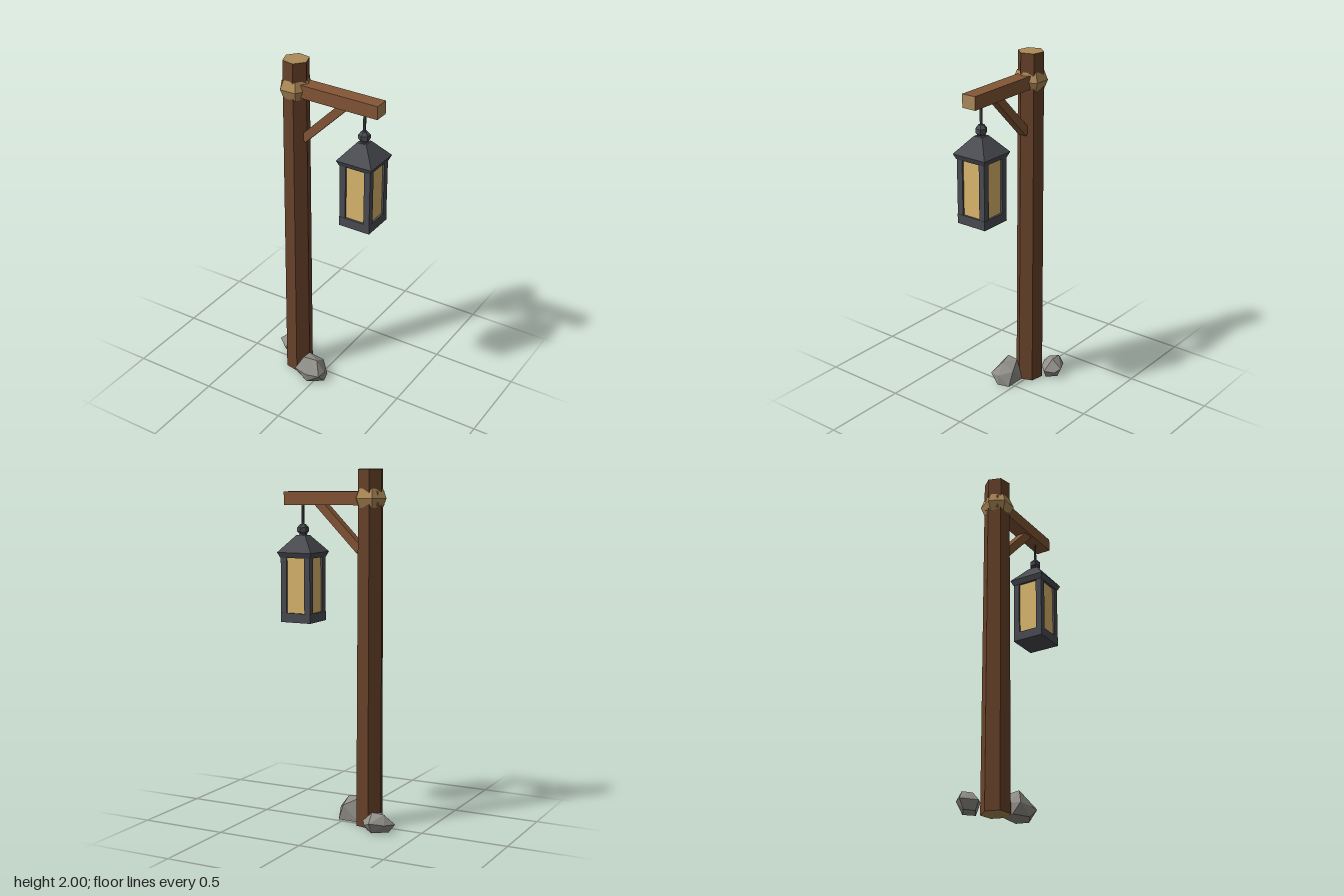
import * as THREE from 'three';
import { ConvexGeometry } from 'three/addons/geometries/ConvexGeometry.js';

const material = (name, color) => {
  const m = new THREE.MeshStandardMaterial({ color, flatShading: true });
  m.name = name;
  return m;
};

export function createModel() {
  const postWood = material('darkWood', 0x68422a);
  const beamWood = material('warmWood', 0x845636);
  const endGrain = material('endGrain', 0xac8a58);
  const ropeFibre = material('rope', 0xb08c58);
  const metal = material('darkMetal', 0x4b4c52);
  const glass = material('amberGlass', 0xdcb86e);
  const stone = material('stone', 0x918f88);

  const model = new THREE.Group();
  model.name = 'lanternPost';

  const add = (parent, name, geometry, mat, x = 0, y = 0, z = 0) => {
    const mesh = new THREE.Mesh(geometry, mat);
    mesh.name = name;
    mesh.position.set(x, y, z);
    parent.add(mesh);
    return mesh;
  };

  // Square frustum with sides parallel to x and z, given half widths
  const frustum = (top, bottom, height) =>
    new THREE.CylinderGeometry(top * Math.SQRT2, bottom * Math.SQRT2, height, 4).rotateY(Math.PI / 4);

  const postX = -0.167, midZ = 0.021;

  // Six-sided post with pale cut ends
  const post = add(model, 'post', new THREE.CylinderGeometry(0.074, 0.081, 2, 6),
    [postWood, endGrain, endGrain], postX, 1, midZ - 0.002);
  post.rotation.y = 0.34;

  // Cross beam with pale cut ends, sagging very slightly
  const beam = add(model, 'beam', new THREE.BoxGeometry(0.586, 0.075, 0.086),
    [endGrain, endGrain, beamWood, beamWood, beamWood, beamWood], 0.063, 1.839, midZ);
  beam.rotation.z = -0.01;

  // Diagonal brace
  const brace = add(model, 'brace', new THREE.BoxGeometry(0.37, 0.047, 0.055), beamWood, 0.02, 1.687, midZ);
  brace.rotation.z = Math.PI / 4;

  // Rope binding around post and beam
  const rope = add(model, 'ropeBinding', new THREE.TorusGeometry(0.074, 0.021, 4, 6), ropeFibre, postX, 1.842, midZ);
  rope.rotation.x = Math.PI / 2;
  rope.scale.z = 2.5;

  // Hanging lantern
  const lantern = new THREE.Group();
  lantern.name = 'lantern';
  lantern.position.set(0.257, 0, midZ);
  model.add(lantern);

  add(lantern, 'hangingRod', new THREE.CylinderGeometry(0.008, 0.008, 0.14, 6), metal, 0, 1.75, 0);
  add(lantern, 'finial', new THREE.LatheGeometry([
    [0, 1.61], [0.034, 1.62], [0.02, 1.635], [0.033, 1.65], [0.033, 1.672], [0.016, 1.692], [0, 1.692],
  ].map(([r, y]) => new THREE.Vector2(r, y)), 6), metal);
  add(lantern, 'roof', frustum(0.028, 0.108, 0.095), metal, 0, 1.5825, 0);
  add(lantern, 'roofRim', frustum(0.108, 0.095, 0.03), metal, 0, 1.52, 0);
  add(lantern, 'base', new THREE.BoxGeometry(0.188, 0.053, 0.188), metal, 0, 1.1665, 0);
  add(lantern, 'glassPanes', new THREE.BoxGeometry(0.164, 0.32, 0.164), glass, 0, 1.347, 0);

  // Corner posts of the lantern
  for (const sx of [-1, 1]) {
    for (const sz of [-1, 1]) {
      add(lantern, 'cornerPost', new THREE.BoxGeometry(0.036, 0.325, 0.036), metal, sx * 0.075, 1.346, sz * 0.075);
    }
  }

  // Faceted stones at the foot of the post
  const addStone = (name, points) =>
    add(model, name, new ConvexGeometry(points.map((p) => new THREE.Vector3(...p))), stone);

  addStone('frontStone', [
    [-0.13, 0, 0.1], [-0.12, 0.06, 0.143], [-0.035, 0.055, 0.157], [-0.035, 0, 0.148],
    [0.045, 0.06, 0.143], [0.05, 0, 0.09], [0.05, 0.06, 0.085], [-0.08, 0.138, 0.11],
    [0, 0.13, 0.09], [-0.13, 0.06, 0.08], [-0.08, 0.13, 0.045], [0, 0.09, 0.015],
    [0.03, 0, 0.02], [-0.1, 0, 0.02],
  ]);
  addStone('backStone', [
    [-0.368, 0.05, -0.07], [-0.325, 0.05, -0.12], [-0.247, 0.06, -0.158], [-0.21, 0.04, -0.135],
    [-0.175, 0.05, -0.085], [-0.21, 0.06, -0.045], [-0.288, 0.05, -0.003], [-0.31, 0.105, -0.095],
    [-0.24, 0.11, -0.1], [-0.275, 0.1, -0.05], [-0.33, 0, -0.07], [-0.25, 0, -0.13],
    [-0.2, 0, -0.08], [-0.28, 0, -0.03],
  ]);

  return model;
}
